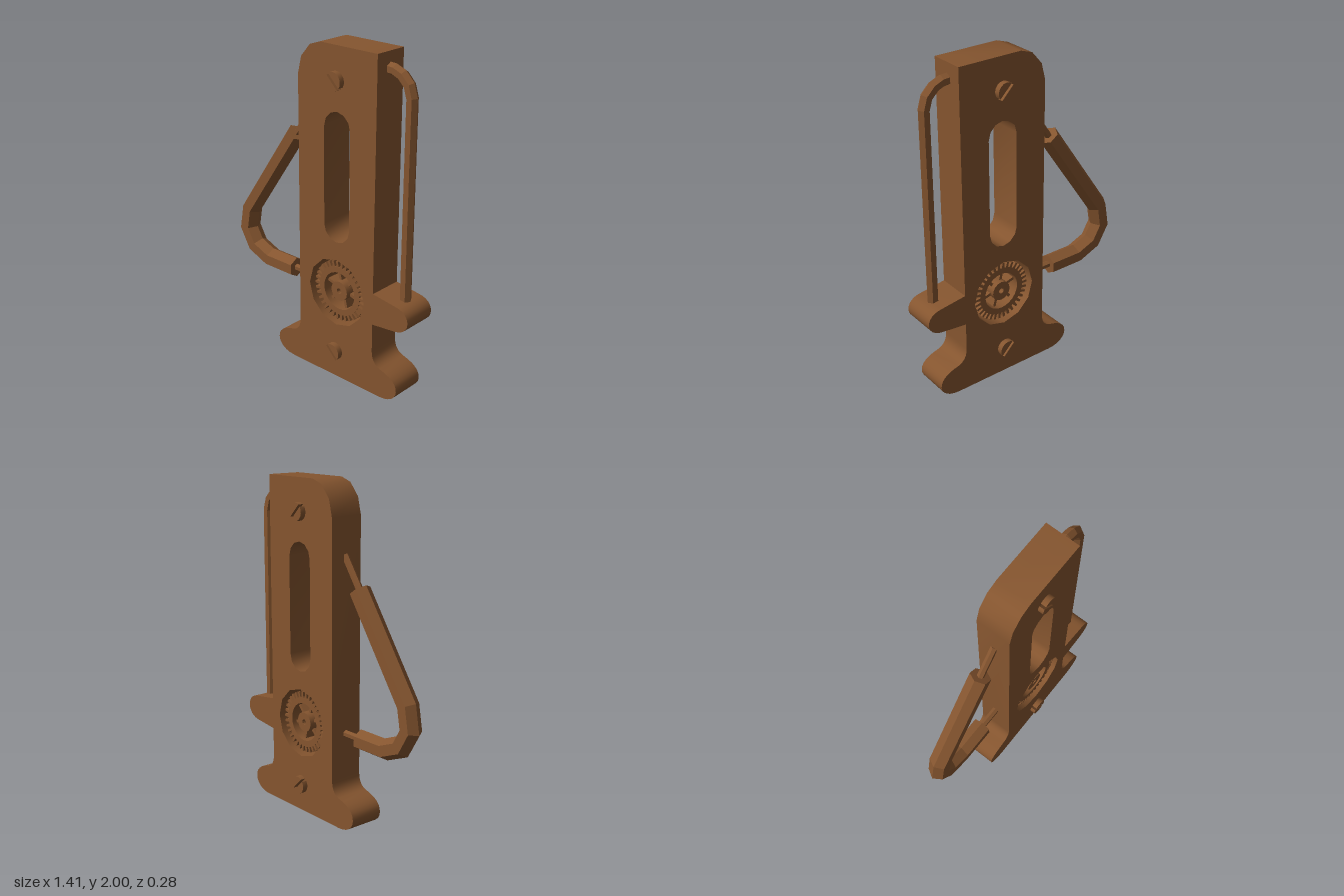
import * as THREE from 'three';
import { toCreasedNormals } from 'three/addons/utils/BufferGeometryUtils.js';

const brown = new THREE.MeshStandardMaterial({ color: 0x85552f });
const HALF = 0.105; // half thickness of the body

const ring = (cx, cy, r, n, start = 0, sweep = Math.PI * 2, closed = true) =>
  Array.from({ length: closed ? n : n + 1 }, (_, i) => {
    const a = start + (sweep * i) / n;
    return new THREE.Vector2(cx + r * Math.cos(a), cy + r * Math.sin(a));
  });

function mesh(name, geometry) {
  const m = new THREE.Mesh(geometry, brown);
  m.name = name;
  return m;
}

// Flat slab from an outline, centred on z = 0
function slab(shape, depth) {
  const g = new THREE.ExtrudeGeometry(shape, { depth, bevelEnabled: false, curveSegments: 6 });
  g.translate(0, 0, -depth / 2);
  return toCreasedNormals(g, 0.6);
}

// Mitred six-sided bar along a path of [x, y] points
function bar(path, radius, sides = 6) {
  const pts = path.map(([x, y]) => new THREE.Vector2(x, y));
  const dirs = pts.slice(1).map((p, i) => p.clone().sub(pts[i]).normalize());
  const pos = [], index = [];
  pts.forEach((p, i) => {
    const a = dirs[Math.max(i - 1, 0)], b = dirs[Math.min(i, dirs.length - 1)];
    const t = a.clone().add(b).normalize();
    const stretch = radius / t.dot(a);
    for (let j = 0; j < sides; j++) {
      const w = (j / sides) * Math.PI * 2;
      const n = Math.cos(w) * stretch;
      pos.push(p.x - t.y * n, p.y + t.x * n, Math.sin(w) * radius);
    }
  });
  const last = pts.length - 1;
  for (let i = 0; i < last; i++) {
    for (let j = 0; j < sides; j++) {
      const k = (j + 1) % sides;
      const a = i * sides + j, b = i * sides + k;
      index.push(a, b, b + sides, a, b + sides, a + sides);
    }
  }
  for (let j = 1; j < sides - 1; j++) {
    index.push(0, j + 1, j, last * sides, last * sides + j, last * sides + j + 1);
  }
  const g = new THREE.BufferGeometry();
  g.setAttribute('position', new THREE.Float32BufferAttribute(pos, 3));
  g.setIndex(index);
  const flat = g.toNonIndexed();
  flat.computeVertexNormals();
  return flat;
}

// Body plate with flared foot, side lug, long slot and round window
function body() {
  const s = new THREE.Shape();
  s.moveTo(-0.17, 0);
  s.lineTo(0.51, 0);
  s.bezierCurveTo(0.59, 0, 0.635, 0.04, 0.635, 0.085);
  s.bezierCurveTo(0.635, 0.13, 0.6, 0.165, 0.51, 0.185);
  s.quadraticCurveTo(0.452, 0.205, 0.452, 0.28);
  s.lineTo(0.452, 0.45);
  s.lineTo(0.61, 0.467);
  s.bezierCurveTo(0.67, 0.472, 0.7, 0.51, 0.7, 0.545);
  s.bezierCurveTo(0.7, 0.585, 0.67, 0.618, 0.61, 0.622);
  s.lineTo(0.452, 0.643);
  s.lineTo(0.452, 2);
  s.lineTo(0.055, 2);
  s.lineTo(-0.02, 1.975);
  s.lineTo(-0.085, 1.9);
  s.lineTo(-0.11, 1.8);
  s.lineTo(-0.11, 0.28);
  s.quadraticCurveTo(-0.11, 0.205, -0.165, 0.185);
  s.bezierCurveTo(-0.26, 0.165, -0.295, 0.13, -0.295, 0.085);
  s.bezierCurveTo(-0.295, 0.04, -0.25, 0, -0.17, 0);
  s.holes.push(
    new THREE.Path([
      ...ring(0.178, 1.545, 0.0935, 6, 0, Math.PI, false),
      ...ring(0.178, 0.965, 0.0935, 6, Math.PI, Math.PI, false),
    ]),
    new THREE.Path(ring(0.178, 0.555, 0.208, 12)),
  );
  return mesh('body', slab(s, HALF * 2));
}

// Spoked gear standing in the round window
function gear() {
  const g = new THREE.Group();
  g.name = 'gear';
  const teeth = 34, step = (Math.PI * 2) / teeth, outline = [];
  for (let i = 0; i < teeth; i++) {
    [[0.152, -0.3], [0.186, -0.2], [0.186, 0.2], [0.152, 0.3]].forEach(([r, f]) => {
      const a = (i + f) * step;
      outline.push(new THREE.Vector2(r * Math.cos(a), r * Math.sin(a)));
    });
  }
  const rim = new THREE.Shape(outline);
  rim.holes.push(new THREE.Path(ring(0, 0, 0.116, 24)));
  g.add(mesh('gearRim', slab(rim, 0.16)));

  const hub = new THREE.Shape(ring(0, 0, 0.06, 16));
  hub.holes.push(new THREE.Path(ring(0, 0, 0.017, 10)));
  g.add(mesh('gearHub', slab(hub, 0.16)));

  for (let i = 0; i < 6; i++) {
    const a = Math.PI / 4 + (i * Math.PI) / 3;
    const spoke = mesh('gearSpoke', new THREE.BoxGeometry(0.075, 0.018, 0.1));
    spoke.position.set(0.088 * Math.cos(a), 0.088 * Math.sin(a), 0);
    spoke.rotation.z = a;
    g.add(spoke);
  }
  g.position.set(0.178, 0.555, 0);
  return g;
}

// Slotted screw heads, each made of two half discs
function screw(y, side) {
  const g = new THREE.Group();
  g.name = 'screw';
  const r = 0.053, a = Math.asin(0.008 / r);
  const half = new THREE.Shape(ring(0, 0, r, 8, a, Math.PI - 2 * a, false));
  for (const turn of [0, Math.PI]) {
    const m = mesh('screwHalf', slab(half, 0.034));
    m.rotation.z = turn - Math.PI / 4;
    g.add(m);
  }
  g.position.set(0.173, y, side * (HALF + 0.016));
  return g;
}

export function createModel() {
  const model = new THREE.Group();
  model.name = 'lockPlate';
  model.add(body(), gear());
  for (const y of [0.17, 1.81]) for (const side of [1, -1]) model.add(screw(y, side));

  // Slim guard rod on the +x side, resting on the lug
  model.add(mesh('guardRod', bar([
    [0.44, 1.908], [0.485, 1.905], [0.535, 1.885], [0.58, 1.84], [0.6, 1.775], [0.6, 0.6],
  ], 0.034)));

  // Thick bent handle with thin pins into the body
  model.add(mesh('handle', bar([
    [-0.24, 0.541], [-0.453, 0.541], [-0.58, 0.592], [-0.643, 0.7], [-0.619, 0.835], [-0.225, 1.405],
  ], 0.0615)));
  model.add(mesh('lowerPin', bar([[-0.28, 0.543], [-0.1, 0.543]], 0.021)));
  model.add(mesh('upperPin', bar([[-0.25, 1.369], [-0.1, 1.584]], 0.021)));
  return model;
}
